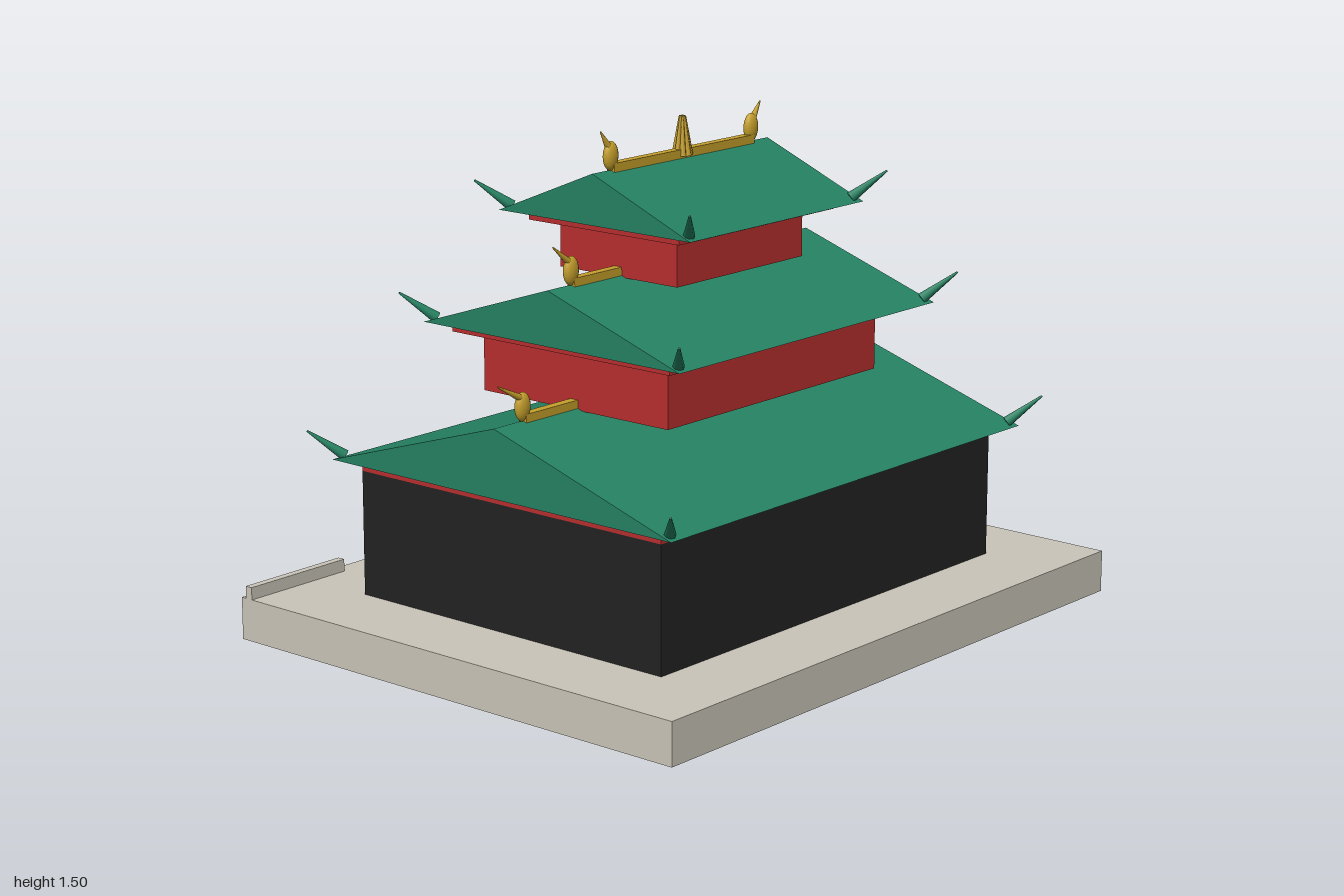
import * as THREE from 'three';

const CZ = 0.0975; // depth of the ridge line and of every tier's centre

const mat = (name, color) => {
  const m = new THREE.MeshStandardMaterial({ color });
  m.name = name;
  return m;
};

export function createModel() {
  const stone = mat('stone', 0xcac5b9);
  const black = mat('black lacquer', 0x222222);
  const red = mat('red timber', 0xb82e2e);
  const green = mat('green tile', 0x258262);
  const gold = mat('gold', 0xc6a02c);
  const lanternRed = mat('lantern red', 0xa81c2a);

  const root = new THREE.Group();
  root.name = 'pagoda';

  const add = (parent, name, geometry, material) => {
    const mesh = new THREE.Mesh(geometry, material);
    mesh.name = name;
    parent.add(mesh);
    return mesh;
  };

  // Box given by its extents
  const box = (parent, name, material, x0, x1, y0, y1, z0, z1) => {
    const mesh = add(parent, name, new THREE.BoxGeometry(x1 - x0, y1 - y0, z1 - z0), material);
    mesh.position.set((x0 + x1) / 2, (y0 + y1) / 2, (z0 + z1) / 2);
    return mesh;
  };

  // Box centred on the tower axis
  const tierBox = (parent, name, material, hx, hz, y0, y1) =>
    box(parent, name, material, -hx, hx, y0, y1, CZ - hz, CZ + hz);

  // Tapered spike between two points
  const spike = (parent, name, material, from, to, r0, r1, sides = 8) => {
    const a = new THREE.Vector3(...from);
    const b = new THREE.Vector3(...to);
    const dir = b.clone().sub(a);
    const mesh = add(parent, name, new THREE.CylinderGeometry(r1, r0, dir.length(), sides), material);
    mesh.position.copy(a).add(b).multiplyScalar(0.5);
    mesh.quaternion.setFromUnitVectors(new THREE.Vector3(0, 1, 0), dir.normalize());
    return mesh;
  };

  const ellipsoid = (parent, name, material, rx, ry, rz, x, y, z) => {
    const mesh = add(parent, name, new THREE.SphereGeometry(1, 14, 10), material);
    mesh.scale.set(rx, ry, rz);
    mesh.position.set(x, y, z);
    return mesh;
  };

  // Terrace with low rails along the entrance edge
  tierBox(root, 'terrace', stone, 1, 0.8125, 0.004, 0.13);
  box(root, 'leftRail', stone, 0.63, 1, 0.13, 0.167, -0.697, -0.673);
  box(root, 'rightRail', stone, -1, -0.63, 0.13, 0.167, -0.697, -0.673);

  // Entrance steps as one stepped profile
  const steps = new THREE.Shape();
  steps.moveTo(0.724, 0);
  for (let i = 0; i < 6; i++) {
    const top = 0.126 - i * 0.0212;
    steps.lineTo(0.724 + i * 0.031, top);
    steps.lineTo(0.724 + (i + 1) * 0.031, top);
  }
  steps.lineTo(0.91, 0);
  const stepGeo = new THREE.ExtrudeGeometry(steps, { depth: 0.625, bevelEnabled: false });
  stepGeo.rotateY(Math.PI / 2).translate(-0.3125, 0, 0);
  add(root, 'steps', stepGeo, stone);

  // Ground floor hall
  tierBox(root, 'hall', black, 0.75, 0.5625, 0.002, 0.5);

  // Each tier: red walls, red eave band, gabled roof, ridge and ornaments
  const tiers = [
    { band: [0.75, 0.5625, 0.5, 0.532], roof: [0.797, 0.637, 0.53, 0.73], ridge: 0.68, tip: [0.78, 0.845] },
    { wall: [0.468, 0.345, 0.72, 0.9], band: [0.533, 0.406, 0.895, 0.922],
      roof: [0.576, 0.478, 0.92, 1.08], ridge: 0.478, tip: [0.552, 1.197] },
    { wall: [0.28, 0.218, 1.07, 1.215], band: [0.345, 0.28, 1.208, 1.237],
      roof: [0.388, 0.356, 1.233, 1.38], ridge: 0.31, tip: [0.352, 1.493] },
  ];

  tiers.forEach((t, i) => {
    const tier = new THREE.Group();
    tier.name = 'tier' + (i + 1);
    root.add(tier);
    if (t.wall) tierBox(tier, 'walls', red, ...t.wall);
    tierBox(tier, 'eaveBand', red, ...t.band);

    // Solid gabled roof
    const [hx, hz, eave, top] = t.roof;
    const gable = new THREE.Shape();
    gable.moveTo(-hz, eave);
    gable.lineTo(hz, eave);
    gable.lineTo(0, top);
    const roofGeo = new THREE.ExtrudeGeometry(gable, { depth: 2 * hx, bevelEnabled: false });
    roofGeo.rotateY(Math.PI / 2).translate(-hx, 0, CZ);
    add(tier, 'roof', roofGeo, green);

    // Upswept horns at the four corners
    for (const sx of [-1, 1]) for (const sz of [-1, 1]) {
      spike(tier, 'cornerHorn', green,
        [sx * (hx - 0.026), eave + 0.012, CZ + sz * (hz - 0.026)],
        [sx * (hx + 0.054), eave + 0.088, CZ + sz * (hz + 0.044)], 0.017, 0.003);
    }

    // Gold ridge with a beast head at each end
    tierBox(tier, 'ridge', gold, t.ridge, 0.014, top - 0.008, top + 0.02);
    for (const s of [-1, 1]) {
      ellipsoid(tier, 'ridgeHead', gold, 0.028, 0.042, 0.017, s * t.ridge, top + 0.04, CZ);
      spike(tier, 'ridgeHorn', gold, [s * (t.ridge + 0.008), top + 0.066, CZ],
        [s * t.tip[0], t.tip[1], CZ], 0.011, 0.002);
    }
  });

  // Finial: a core wrapped in leaning flames
  const finial = new THREE.Group();
  finial.name = 'finial';
  root.add(finial);
  spike(finial, 'finialCore', gold, [0, 1.38, CZ], [0, 1.495, CZ], 0.02, 0.009);
  for (let i = 0; i < 8; i++) {
    const a = (i * Math.PI) / 4;
    const c = Math.cos(a), s = Math.sin(a);
    spike(finial, 'finialFlame', gold, [c * 0.022, 1.38, CZ + s * 0.022],
      [c * 0.008, 1.492, CZ + s * 0.008], 0.01, 0.003, 6);
  }

  // Row of lanterns over the entrance
  for (let i = 0; i < 8; i++) {
    ellipsoid(root, 'lantern', lanternRed, 0.019, 0.03, 0.019, -0.66 + (i * 1.32) / 7, 0.455, -0.461);
  }

  return root;
}
